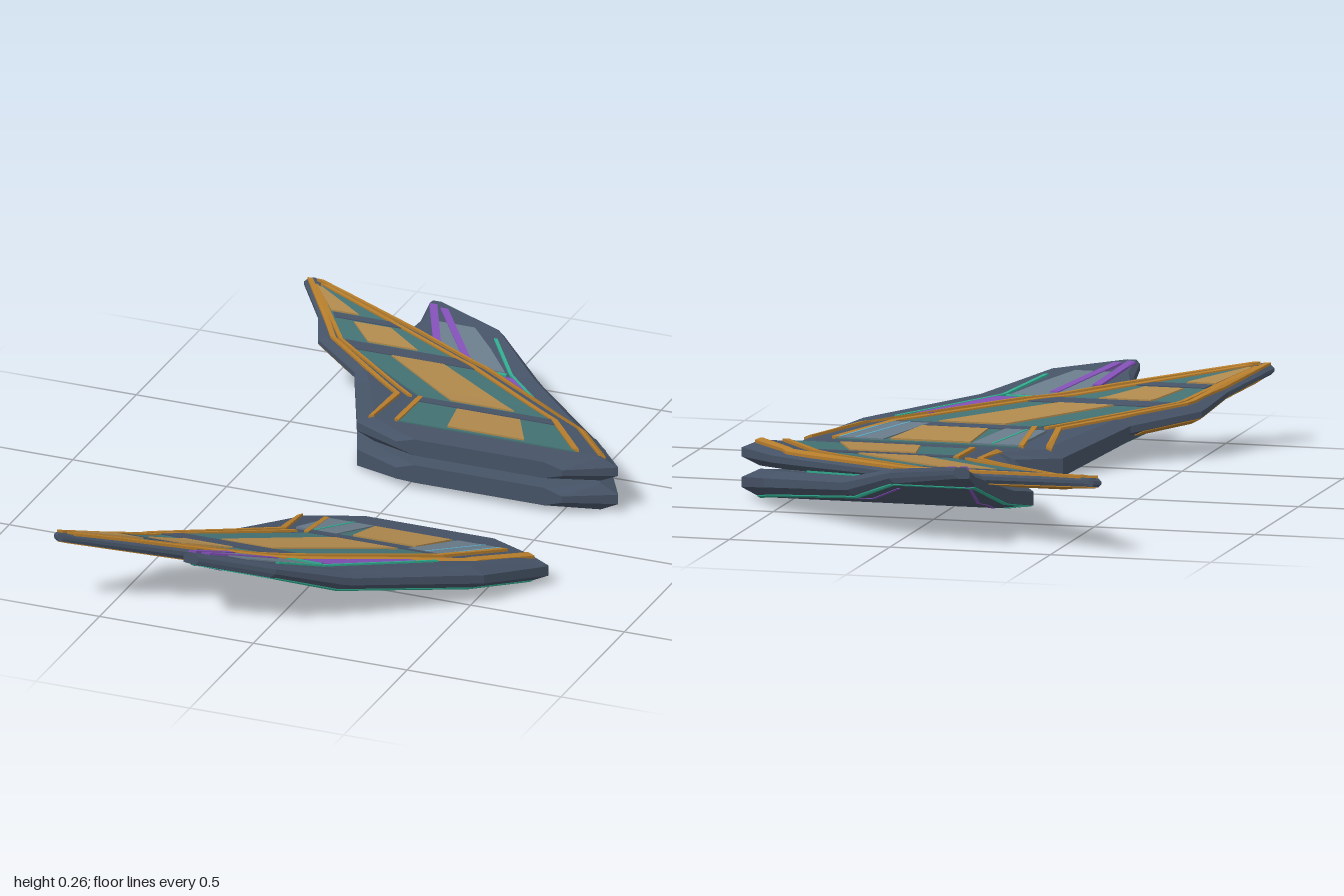
import * as THREE from 'three';

const mat = (name, color) => Object.assign(new THREE.MeshStandardMaterial({ color }), { name });
const M = {
  hull: mat('dark slate', 0x455265), teal: mat('muted teal', 0x437072),
  gold: mat('gold panel', 0xae884c), trim: mat('amber trim', 0xb47c2c),
  grey: mat('blue grey', 0x687a88), purple: mat('purple', 0x7f4fb2),
  line: mat('bright teal', 0x30a88c), cyan: mat('pale cyan', 0x62a9c4),
};

// Piecewise-linear lookup in [[w, value], ...]
function at(table, w) {
  if (w <= table[0][0]) return table[0][1];
  for (let i = 1; i < table.length; i++) {
    const [w0, v0] = table[i - 1], [w1, v1] = table[i];
    if (w <= w1) return v0 + (v1 - v0) * (w - w0) / (w1 - w0);
  }
  return table[table.length - 1][1];
}

// Closed loft through rings {w, pts:[[x, y]...]}, running outward along side s
function loft(rings, s) {
  const v = [], n = rings[0].pts.length;
  const P = (i, j) => [rings[i].pts[j % n][0], rings[i].pts[j % n][1], s * rings[i].w];
  const tri = (a, b, c) => (s > 0 ? v.push(...a, ...b, ...c) : v.push(...a, ...c, ...b));
  const last = rings.length - 1;
  for (let i = 0; i < last; i++) for (let j = 0; j < n; j++) {
    tri(P(i, j), P(i, j + 1), P(i + 1, j + 1));
    tri(P(i, j), P(i + 1, j + 1), P(i + 1, j));
  }
  for (let j = 1; j < n - 1; j++) {
    tri(P(0, 0), P(0, j + 1), P(0, j));
    tri(P(last, 0), P(last, j), P(last, j + 1));
  }
  const g = new THREE.BufferGeometry();
  g.setAttribute('position', new THREE.Float32BufferAttribute(v, 3));
  g.computeVertexNormals();
  return g;
}

const bevel = [[0.195, 0.06], [0.45, 0.05], [0.8, 0.025], [1, 0.008]];

// Outline at one station: trailing edge, leading edge and bevel width
function outline(spec, w) {
  const xt = at(spec.trail, w), xl = at(spec.lead, w);
  return { xt, xl, b: Math.min(at(bevel, w), (xl - xt) * 0.3) };
}

// Upper or lower skin height at a point, including the bevelled edges
function skin(spec, x, w, up) {
  const lo = at(spec.bottom, w), hi = at(spec.top, w);
  const { xt, xl, b } = outline(spec, w);
  const k = Math.max(0, Math.min(1, (x - xt) / b, (xl - x) / b));
  const rim = x < (xt + xl) / 2 ? spec.trailRim : 0.32;
  const edge = lo + (hi - lo) * (up ? 0.68 : rim);
  return edge + ((up ? hi : lo) - edge) * k;
}

function makeWing(name, spec, s) {
  const wing = new THREE.Group();
  wing.name = name;
  const add = (part, geo, m) => {
    const mesh = new THREE.Mesh(geo, m);
    mesh.name = part;
    wing.add(mesh);
  };
  // Eight-sided hull section at every bend of the outline or dihedral
  const tables = [...spec.trail, ...spec.lead, ...spec.top, ...spec.bottom];
  const ws = [...new Set([...tables.map(p => p[0]), 0.45, 0.8])].sort((a, b) => a - b);
  add('wingHull', loft(ws.map(w => {
    const { xt, xl, b } = outline(spec, w);
    const p = (x, up) => [x, skin(spec, x, w, up)];
    return { w, pts: [p(xt + b, 0), p(xl - b, 0), p(xl, 0), p(xl, 1), p(xl - b, 1), p(xt + b, 1), p(xt, 1), p(xt, 0)] };
  }), s), M.hull);

  // Thin plate draped on the skin, bending over the bevels, from stations [w, x0, x1]
  const plate = (part, st, m, h = 0.004, up = true) => {
    const a = st.map(q => [q[0], q[1]]), b = st.map(q => [q[0], q[2]]);
    const w0 = st[0][0], w1 = st[st.length - 1][0];
    const cuts = [...new Set([...st.map(q => q[0]), ...ws.filter(w => w > w0 && w < w1)])].sort((p, q) => p - q);
    const [under, over] = up ? [-0.001, h] : [-h, 0.001];
    add(part, loft(cuts.map(w => {
      const l = at(a, w), r = at(b, w), o = outline(spec, w);
      const clamp = x => Math.max(l, Math.min(r, x));
      const xs = [l, clamp(o.xt + o.b), clamp(o.xl - o.b), r];
      const row = d => xs.map(x => [x, skin(spec, x, w, up) + d]);
      return { w, pts: [...row(under), ...row(over).reverse()] };
    }), s), m);
  };
  // Narrow strip following [w, x] points
  const strip = (part, pts, m, h = 0.008, half = 0.006, up = true) =>
    plate(part, pts.map(([w, x]) => [w, x - half, x + half]), m, h, up);
  return { wing, plate, strip };
}

// Long swept wing with teal field, gold panels and amber trim
const upperPlan = {
  trailRim: 0.32,
  trail: [[0.195, -0.03], [0.275, -0.19], [0.57, -0.32], [0.72, -0.5], [0.84, -0.55], [0.985, -0.655], [1, -0.635]],
  lead: [[0.195, 0.51], [0.275, 0.66], [0.42, 0.53], [0.7, 0.09], [0.83, -0.2], [0.94, -0.47], [1, -0.62]],
};
function upperWing(name, heights, s) {
  const { wing, plate, strip } = makeWing(name, { ...upperPlan, ...heights }, s);
  plate('tealField', [[0.275, -0.06, 0.52], [0.45, -0.05, 0.37], [0.7, -0.4, -0.01], [0.96, -0.6, -0.575]], M.teal);
  // Cross bands
  plate('crossBand', [[0.42, -0.05, 0.395], [0.45, -0.05, 0.37]], M.hull, 0.007);
  plate('crossBand', [[0.675, -0.365, 0.03], [0.72, -0.415, -0.05]], M.hull, 0.007);
  plate('crossBand', [[0.82, -0.485, -0.27], [0.842, -0.5, -0.31]], M.hull, 0.007);
  // Gold panels
  plate('goldPanel', [[0.285, 0.1, 0.35], [0.41, 0.08, 0.285]], M.gold, 0.0095);
  plate('goldPanel', [[0.46, 0.04, 0.245], [0.67, -0.24, -0.07]], M.gold, 0.009);
  plate('goldPanel', [[0.727, -0.34, -0.18], [0.81, -0.42, -0.3]], M.gold, 0.009);
  plate('goldPanel', [[0.848, -0.51, -0.42], [0.95, -0.595, -0.58]], M.gold, 0.009);
  // Edge trims
  strip('trailingTrim', [[0.28, -0.145], [0.45, -0.13], [0.58, -0.285], [0.72, -0.45], [0.84, -0.53], [0.985, -0.635]], M.trim, 0.008, 0.009);
  strip('innerTrim', [[0.275, -0.06], [0.45, -0.055]], M.trim, 0.009, 0.008);
  strip('innerTrim', [[0.45, -0.09], [0.72, -0.425], [0.96, -0.605]], M.trim, 0.008, 0.007);
  strip('leadingTrim', [[0.28, 0.52], [0.45, 0.38], [0.7, 0], [0.82, -0.26], [0.965, -0.58]], M.trim, 0.009, 0.011);
  strip('outerTrim', [[0.28, 0.605], [0.44, 0.465], [0.7, 0.055], [0.82, -0.205], [0.985, -0.6]], M.trim, 0.009, 0.012);
  // Amber underside of the outer half
  plate('amberUnderside', [[0.6, -0.352, 0.15], [0.72, -0.497, 0], [0.84, -0.547, -0.25], [0.94, -0.62, -0.49], [0.99, -0.64, -0.61]], M.trim, 0.003, false);
  return wing;
}

// Shorter, broader wing with grey panels, purple accents and teal piping
const lowerSpec = {
  trailRim: 0.06,
  trail: [[0.195, -0.03], [0.275, -0.19], [0.57, -0.31], [0.66, -0.355], [0.9, -0.24], [0.97, -0.24]],
  lead: [[0.195, 0.51], [0.275, 0.66], [0.48, 0.535], [0.9, 0.03], [0.97, -0.19]],
  bottom: [[0.195, 0.025], [0.275, 0.004], [0.76, 0.105], [0.97, 0.215]],
  top: [[0.195, 0.083], [0.275, 0.09], [0.74, 0.165], [0.97, 0.25]],
};
function lowerWing(name, s) {
  const { wing, plate, strip } = makeWing(name, lowerSpec, s);
  // Inner panels
  plate('innerField', [[0.28, -0.055, 0.5], [0.45, -0.04, 0.36], [0.72, -0.2, -0.06]], M.grey, 0.002);
  plate('rootPanel', [[0.28, -0.05, 0.095], [0.42, -0.1, 0.03]], M.grey, 0.008);
  plate('rootPanel', [[0.28, 0.37, 0.51], [0.44, 0.27, 0.385]], M.grey, 0.008);
  for (const dx of [0, 0.05]) strip('cyanPiping', [[0.28, 0.505 - dx], [0.44, 0.38 - dx]], M.cyan, 0.0095, 0.004);
  strip('tealPiping', [[0.28, 0.03], [0.42, -0.04]], M.line, 0.0095, 0.004);
  // Outer panels
  plate('outerPanel', [[0.74, -0.08, 0.1], [0.82, -0.15, 0.02], [0.89, -0.18, -0.06]], M.grey);
  plate('purplePanel', [[0.535, 0.3, 0.34], [0.64, 0.16, 0.22], [0.715, 0.04, 0.14]], M.purple, 0.005);
  strip('purpleTrim', [[0.76, -0.03], [0.94, -0.18]], M.purple, 0.007, 0.013);
  strip('purpleTrim', [[0.81, -0.15], [0.95, -0.22]], M.purple, 0.007, 0.013);
  strip('tealPiping', [[0.5, 0.39], [0.73, 0.125], [0.86, 0.02]], M.line, 0.006, 0.006);
  strip('tealPiping', [[0.722, 0.04], [0.732, 0.04]], M.line, 0.006, 0.07);
  // Underside piping
  strip('edgePiping', [[0.28, -0.165], [0.57, -0.297], [0.66, -0.342], [0.9, -0.23]], M.line, 0.003, 0.007, false);
  strip('edgePiping', [[0.28, 0.605], [0.48, 0.49], [0.89, 0.022]], M.line, 0.003, 0.006, false);
  plate('edgePiping', [[0.889, -0.225, 0.025], [0.897, -0.225, 0.015]], M.line, 0.003, false);
  strip('purplePiping', [[0.28, -0.125], [0.62, -0.2], [0.9, -0.22]], M.purple, 0.002, 0.005, false);
  strip('purplePiping', [[0.68, 0.2], [0.86, 0.01]], M.purple, 0.002, 0.005, false);
  return wing;
}

export function createModel() {
  const model = new THREE.Group();
  model.name = 'wingSet';
  // Front upper wing nests into the lower one; rear upper wing sits above it
  const nested = {
    bottom: [[0.195, 0.03], [0.275, 0.013], [0.72, 0.111], [1, 0.228]],
    top: [[0.195, 0.083], [0.275, 0.09], [0.74, 0.167], [1, 0.255]],
  };
  const raised = {
    bottom: [[0.195, 0.115], [0.275, 0.1], [0.72, 0.155], [1, 0.215]],
    top: [[0.195, 0.168], [0.275, 0.178], [0.5, 0.179], [0.72, 0.19], [1, 0.242]],
  };
  model.add(
    lowerWing('frontLowerWing', 1), upperWing('frontUpperWing', nested, 1),
    lowerWing('rearLowerWing', -1), upperWing('rearUpperWing', raised, -1),
  );
  return model;
}
